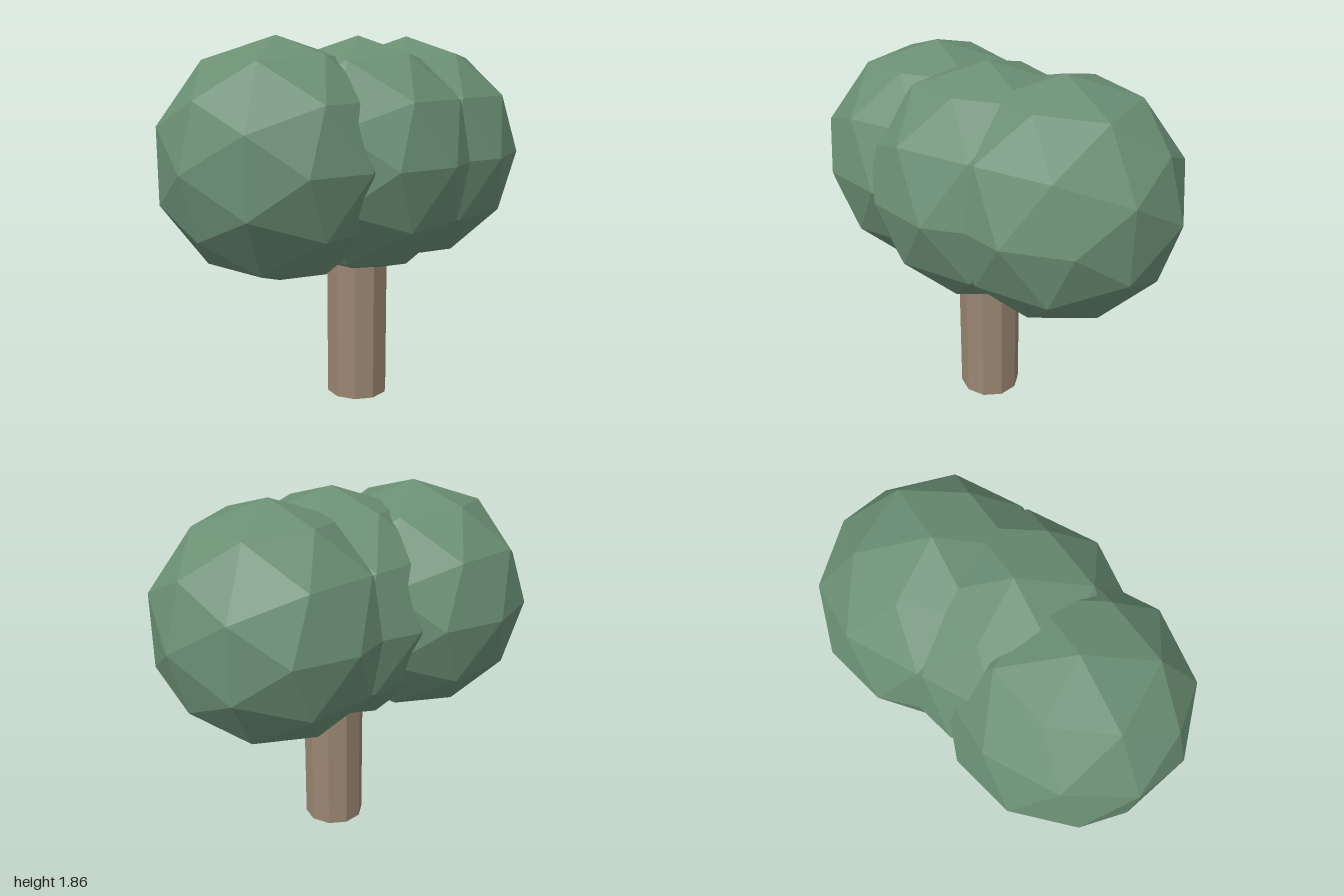
import * as THREE from 'three';

export function createModel() {
  const tree = new THREE.Group();
  tree.name = 'tree';

  const leafGreen = new THREE.MeshStandardMaterial({ color: 0x6b8f74, flatShading: true });
  leafGreen.name = 'leaf green';
  const barkBrown = new THREE.MeshStandardMaterial({ color: 0x9a8672, flatShading: true });
  barkBrown.name = 'bark brown';

  // Ten-sided trunk, running up inside the middle clump
  const trunkHeight = 1.2;
  const trunkGeometry = new THREE.CylinderGeometry(0.16, 0.16, trunkHeight, 10);
  trunkGeometry.rotateY(Math.PI / 2);
  const trunk = new THREE.Mesh(trunkGeometry, barkBrown);
  trunk.name = 'trunk';
  trunk.position.set(0, trunkHeight / 2, 0.086);
  tree.add(trunk);

  // Three overlapping faceted foliage clumps
  const clumpGeometry = new THREE.IcosahedronGeometry(0.6, 1);
  clumpGeometry.rotateY(Math.PI / 2);
  const clumps = [
    ['rightFoliage', -0.4, -0.086],
    ['middleFoliage', 0, 0.086],
    ['leftFoliage', 0.4, 0.086],
  ];
  for (const [name, x, z] of clumps) {
    const clump = new THREE.Mesh(clumpGeometry, leafGreen);
    clump.name = name;
    clump.position.set(x, 1.258, z);
    tree.add(clump);
  }

  return tree;
}
